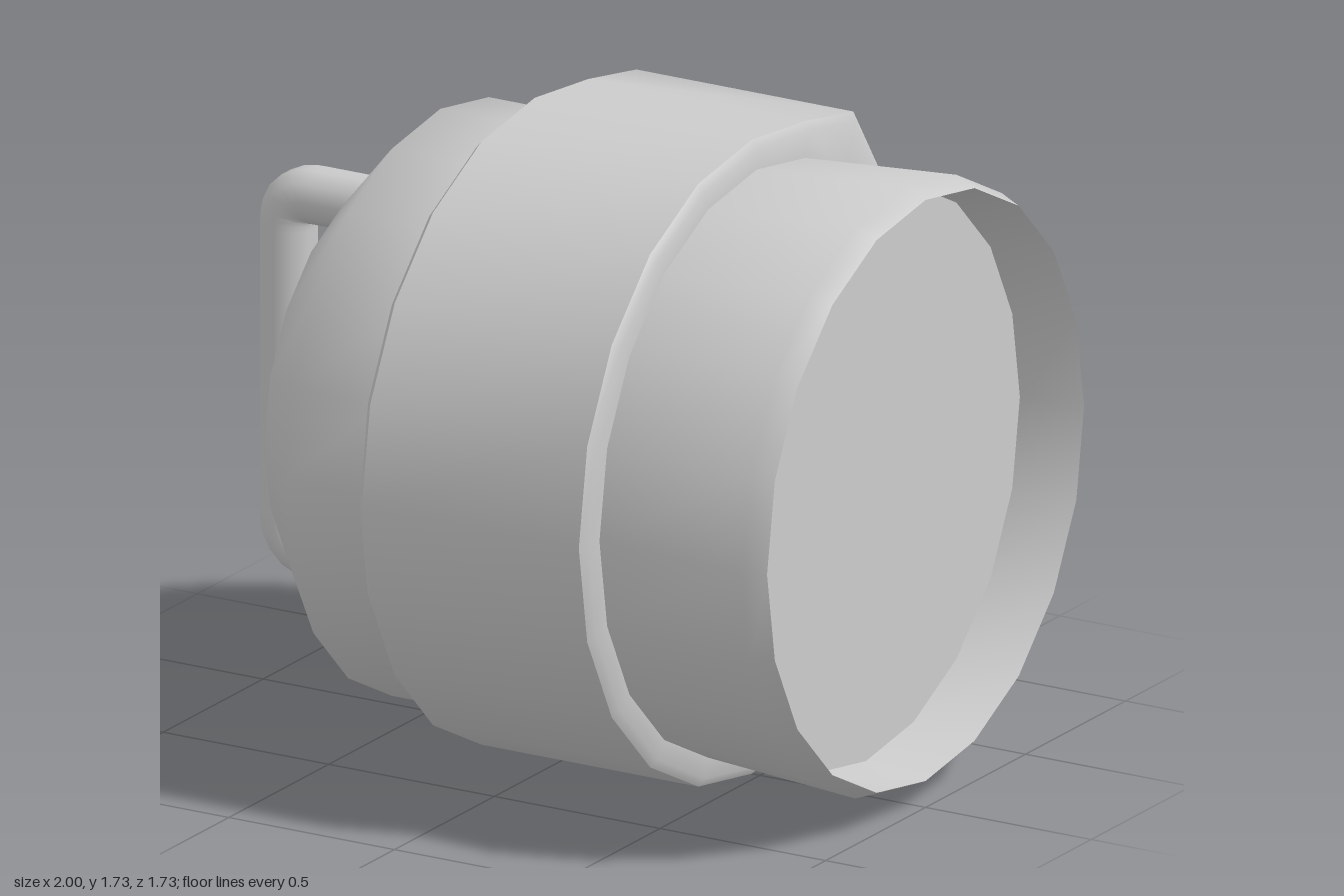
import * as THREE from 'three';
import { toCreasedNormals } from 'three/addons/utils/BufferGeometryUtils.js';

const SIDES = 20;
const AXIS_Y = 0.865;
const material = new THREE.MeshStandardMaterial({ color: 0xcccccc });

function addMesh(group, name, geometry) {
  const mesh = new THREE.Mesh(geometry, material);
  mesh.name = name;
  group.add(mesh);
  return mesh;
}

// Profile of [x, radius] pairs turned around the horizontal x axis
function turned(profile) {
  const lathe = new THREE.LatheGeometry(profile.map(([x, r]) => new THREE.Vector2(r, x)), SIDES);
  return lathe.rotateZ(-Math.PI / 2).translate(0, AXIS_Y, 0);
}

// Flat end disc facing +x (dir 1) or -x (dir -1)
function disc(x, radius, dir) {
  return new THREE.CircleGeometry(radius, SIDES, Math.PI / 2)
    .rotateY(dir * Math.PI / 2).translate(x, AXIS_Y, 0);
}

// Pull the collar out into two blunt corners on the rear side, above and below
function addCorners(geometry) {
  const p = geometry.attributes.position;
  for (let i = 0; i < p.count; i++) {
    const y = p.getY(i) - AXIS_Y, z = p.getZ(i);
    const r = Math.hypot(y, z);
    if (r < 0.8 || z > 0) continue;
    const step = Math.round(Math.atan2(-z, Math.abs(y)) / (Math.PI / 10));
    const lift = step === 1 ? 0.016 : step === 2 ? 0.095 : 0;
    p.setY(i, p.getY(i) + Math.sign(y) * lift);
  }
  return geometry;
}

export function createModel() {
  const model = new THREE.Group();
  model.name = 'lidWithHandle';

  // Rear body with sloped shoulder and flat end
  addMesh(model, 'body', toCreasedNormals(
    turned([[-0.655, 0.565], [-0.465, 0.785], [-0.18, 0.785]]), 1.0));
  addMesh(model, 'bodyEnd', disc(-0.655, 0.565, -1));

  // Wide collar with bevelled edges
  const collar = addCorners(turned([
    [-0.2, 0.77], [-0.2, 0.842], [-0.18, 0.865], [0.475, 0.865], [0.49, 0.842], [0.49, 0.77],
  ]));
  addMesh(model, 'collar', toCreasedNormals(collar, 0.83));

  // Flared neck with bevelled lip, open rim and recessed face
  addMesh(model, 'neck', toCreasedNormals(
    turned([[0.47, 0.785], [0.94, 0.818], [1, 0.793], [0.82, 0.77]]), 0.6));
  addMesh(model, 'recessedFace', disc(0.82, 0.77, 1));

  // Bail handle: straight runs joined by short bends
  const path = new THREE.CurvePath();
  const v = (x, y) => new THREE.Vector3(x, y, 0);
  const top = 1.35, bottom = 0.38, back = -0.922, bend = 0.09;
  path.add(new THREE.LineCurve3(v(-0.64, top), v(back + bend, top)));
  path.add(new THREE.QuadraticBezierCurve3(v(back + bend, top), v(back, top), v(back, top - bend)));
  path.add(new THREE.LineCurve3(v(back, top - bend), v(back, bottom + bend)));
  path.add(new THREE.QuadraticBezierCurve3(v(back, bottom + bend), v(back, bottom), v(back + bend, bottom)));
  path.add(new THREE.LineCurve3(v(back + bend, bottom), v(-0.64, bottom)));
  addMesh(model, 'handle', new THREE.TubeGeometry(path, 64, 0.077, 10));

  return model;
}
